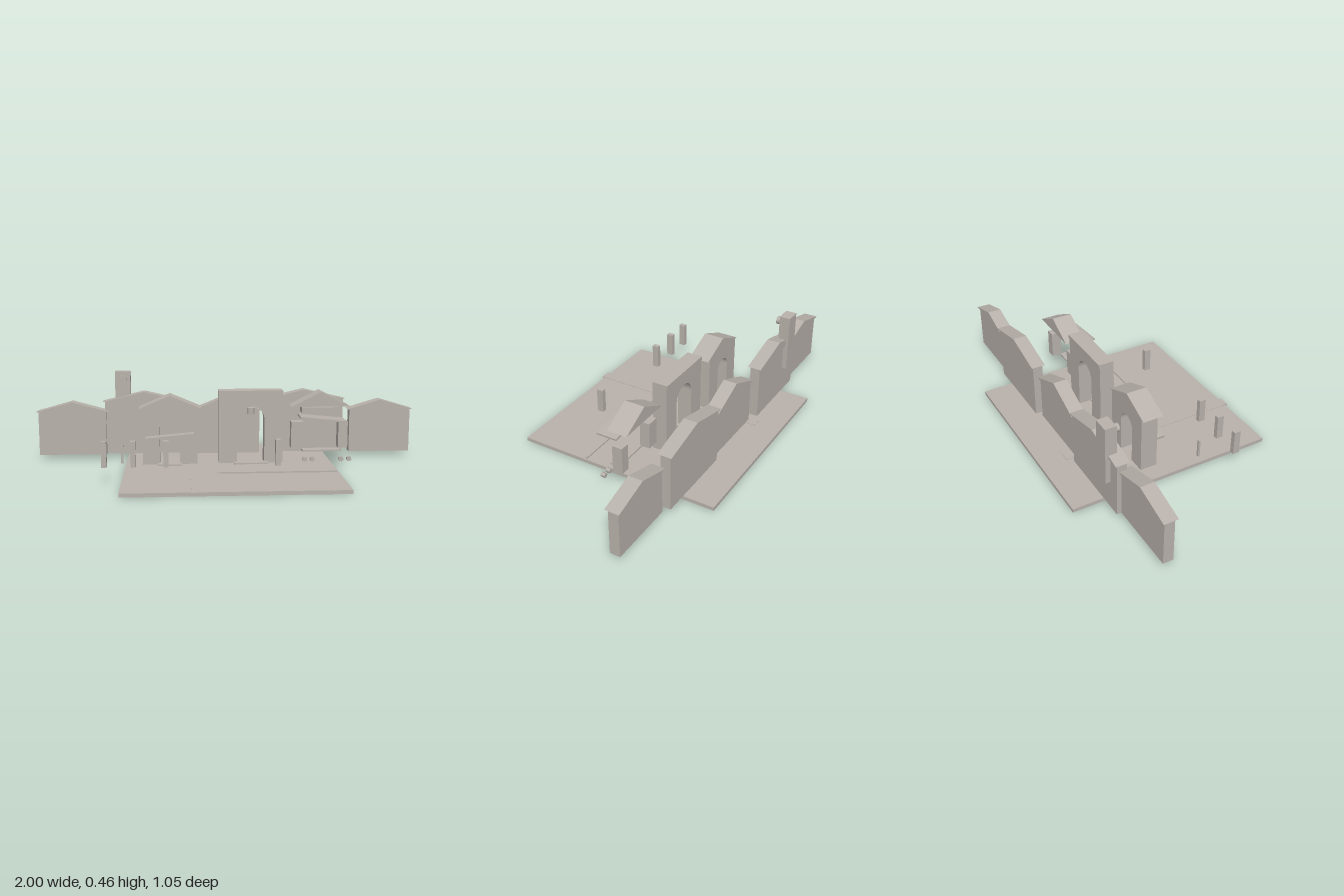
import * as THREE from 'three';

export function createModel() {
  const root = new THREE.Group();
  root.name = 'townSquare';
  const stone = new THREE.MeshStandardMaterial({ color: 0xb8b1ab });
  stone.name = 'warmGreyStone';

  const add = (name, geometry, parent = root) => {
    const mesh = new THREE.Mesh(geometry, stone);
    mesh.name = name;
    parent.add(mesh);
    return mesh;
  };
  // Box given by its limits on each axis
  const box = (name, x0, x1, y0, y1, z0, z1, parent) => {
    const mesh = add(name, new THREE.BoxGeometry(x1 - x0, y1 - y0, z1 - z0), parent);
    mesh.position.set((x0 + x1) / 2, (y0 + y1) / 2, (z0 + z1) / 2);
    return mesh;
  };
  const extrude = (name, shape, z0, z1, parent) => {
    const geometry = new THREE.ExtrudeGeometry(shape, { depth: z1 - z0, bevelEnabled: false, curveSegments: 12 });
    return add(name, geometry.translate(0, 0, z0), parent);
  };
  // Solid triangular roof with the ridge running front to back
  const gable = (name, x0, x1, eave, peak, z0, z1, parent) => {
    const shape = new THREE.Shape();
    shape.moveTo(x0, eave);
    shape.lineTo(x1, eave);
    shape.lineTo((x0 + x1) / 2, peak);
    shape.closePath();
    return extrude(name, shape, z0, z1, parent);
  };
  // Wall with a round-topped doorway reaching the ground
  const archWall = (name, x0, x1, top, cx, r, spring, z0, z1, parent) => {
    const shape = new THREE.Shape();
    shape.moveTo(x0, 0.018);
    shape.lineTo(cx - r, 0.018);
    shape.lineTo(cx - r, spring);
    shape.absarc(cx, spring, r, Math.PI, 0, true);
    shape.lineTo(cx + r, 0.018);
    shape.lineTo(x1, 0.018);
    shape.lineTo(x1, top);
    shape.lineTo(x0, top);
    shape.closePath();
    return extrude(name, shape, z0, z1, parent);
  };
  const group = (name) => {
    const g = new THREE.Group();
    g.name = name;
    root.add(g);
    return g;
  };

  // Ground
  box('ground', -0.52, 0.52, 0, 0.018, -0.527, 0.513);
  box('path', -0.2, -0.147, 0.012, 0.0205, -0.4, 0.527);
  box('kerb', -0.07, 0.51, 0.016, 0.025, 0.157, 0.169);

  // Row of houses at the back: roof left, roof right, eave, peak, roof front
  const houses = [
    [-1.0, -0.625, 0.25, 0.302, -0.29],
    [-0.654, -0.217, 0.298, 0.35, -0.313],
    [-0.19, 0.187, 0.25, 0.327, -0.29],
    [0.195, 0.64, 0.303, 0.355, -0.313],
    [0.65, 1.0, 0.25, 0.302, -0.29],
  ];
  for (const [x0, x1, eave, peak, z] of houses) {
    const house = group('backHouse');
    box('houseWall', x0 + 0.011, x1 - 0.011, 0.02, eave, z - 0.06, z - 0.01, house);
    gable('houseRoof', x0, x1, eave, peak, z - 0.07, z, house);
  }

  // Clock tower
  const tower = group('clockTower');
  box('towerShaft', -0.588, -0.508, 0.165, 0.456, -0.398, -0.342, tower);
  const clock = add('clockDial', new THREE.CylinderGeometry(0.021, 0.021, 0.03, 12), tower);
  clock.rotation.x = Math.PI / 2;
  clock.position.set(-0.548, 0.415, -0.33);

  // Cottage with arched doorway and tilted awning
  const cottage = group('cottage');
  archWall('cottageWall', -0.435, -0.16, 0.305, -0.299, 0.051, 0.199, -0.13, -0.045, cottage);
  gable('cottageRoof', -0.452, -0.142, 0.305, 0.37, -0.13, -0.025, cottage);
  box('cottageStep', -0.36, -0.24, 0.018, 0.025, -0.06, -0.011, cottage);
  box('cottageAwning', -0.42, -0.176, 0.162, 0.173, -0.047, 0.006, cottage).rotation.z = 0.09;

  // Gatehouse
  const gate = group('gatehouse');
  archWall('gateWall', -0.053, 0.273, 0.368, 0.109, 0.07, 0.24, -0.137, -0.062, gate);
  box('gateCap', -0.053, 0.273, 0.368, 0.387, -0.142, -0.062, gate);
  box('gateStep', 0.024, 0.195, 0.018, 0.025, -0.075, -0.025, gate);
  const lantern = add('gateLantern', new THREE.CylinderGeometry(0.019, 0.019, 0.032, 10), gate);
  lantern.position.set(0.109, 0.286, -0.064);

  // Open market stall
  const stall = group('marketStall');
  gable('stallRoof', 0.315, 0.61, 0.307, 0.382, -0.139, -0.036, stall);
  box('stallSign', 0.367, 0.553, 0.275, 0.302, -0.11, -0.045, stall);
  box('stallAwning', 0.347, 0.577, 0.249, 0.258, -0.06, 0.046, stall).rotation.z = -0.1;
  box('stallPillar', 0.315, 0.377, 0.092, 0.227, -0.108, -0.056, stall);
  box('stallPillar', 0.556, 0.604, 0.092, 0.227, -0.108, -0.056, stall);
  box('stallCounter', 0.367, 0.56, 0.083, 0.091, -0.062, -0.011, stall);

  // Small barrels lying in front of the stall
  for (const x of [0.378, 0.416, 0.562, 0.602]) {
    const barrel = add('barrel', new THREE.CylinderGeometry(0.012, 0.012, 0.022, 8), stall);
    barrel.rotation.x = Math.PI / 2;
    barrel.position.set(x, 0.046, -0.003);
  }

  // Lamp boxes and a slim post along the front
  for (const x of [-0.6, -0.466, -0.314, 0.208]) {
    box('lampBox', x - 0.012, x + 0.012, 0.083, 0.205, 0.264, 0.297);
  }
  box('slimPost', -0.532, -0.52, 0.067, 0.159, 0.122, 0.132);

  return root;
}
